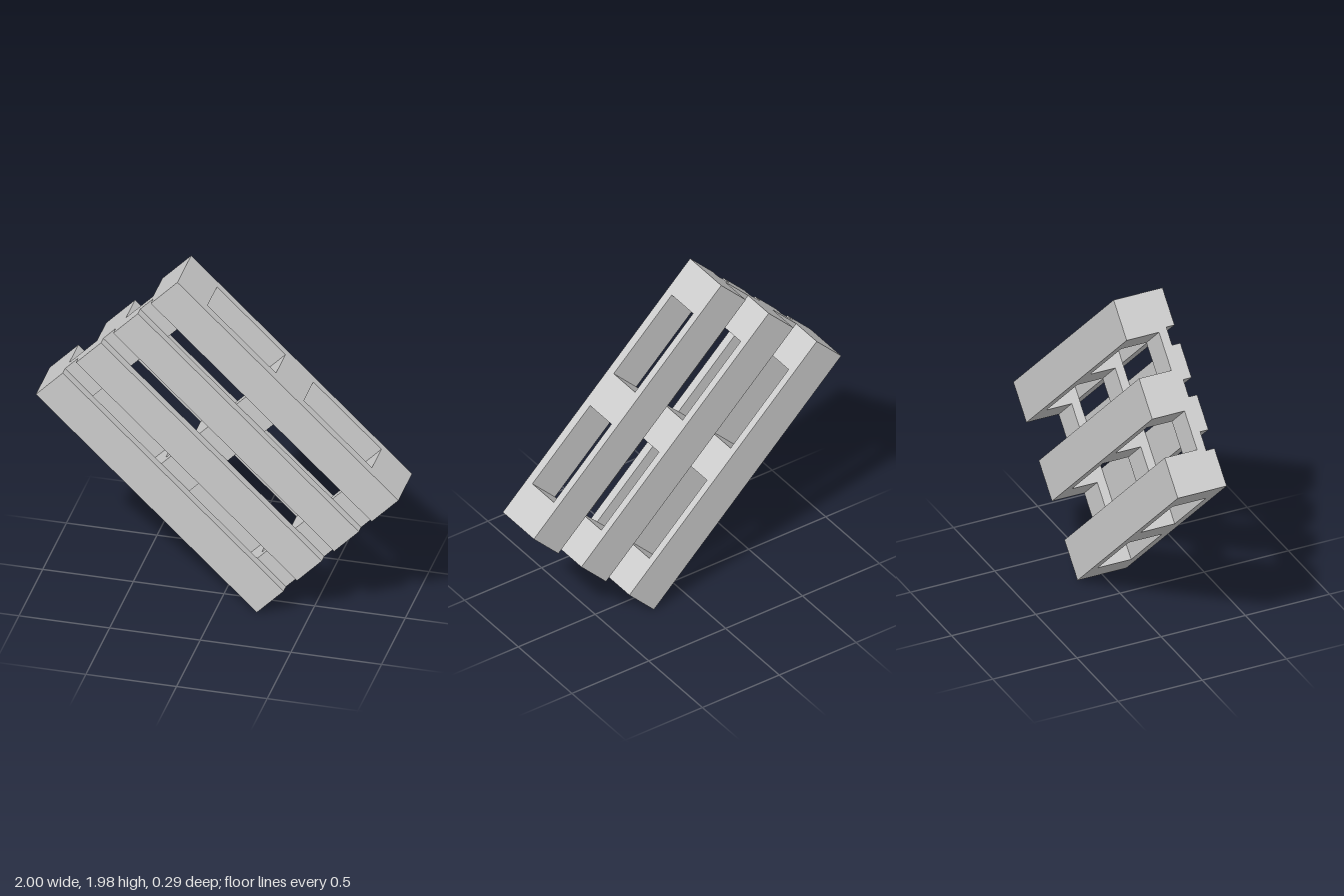
import * as THREE from 'three';

const LENGTH = 1.69, WIDTH = 1.127;
const TILT = -43.85 * Math.PI / 180;

// Layer limits in z, front (deck) to back (base)
const Z = { deck: [0.096, 0.145], cross: [0.047, 0.096], block: [-0.103, 0.047], base: [-0.145, -0.103] };

// Spans as fractions of the length (u) and width (v)
const FULL = [0, 1];
const DECK_V = [[0, 0.19], [0.284, 0.46], [0.547, 0.721], [0.812, 1]];
const BASE_V = [[0, 0.204], [0.399, 0.604], [0.796, 1]];
const CROSS_U = [[0, 0.126], [0.436, 0.562], [0.87, 1]];

export function createModel() {
  const model = new THREE.Group();
  model.name = 'pallet';
  const material = new THREE.MeshStandardMaterial({ color: 0xcccccc, flatShading: true });

  // The whole pallet stands on one corner
  const frame = new THREE.Group();
  frame.name = 'palletFrame';
  frame.rotation.z = TILT;
  frame.position.y = 0.992;
  model.add(frame);

  const plank = (name, u, v, z) => {
    const geometry = new THREE.BoxGeometry((u[1] - u[0]) * LENGTH, (v[1] - v[0]) * WIDTH, z[1] - z[0]);
    const mesh = new THREE.Mesh(geometry, material);
    mesh.name = name;
    mesh.position.set(
      ((u[0] + u[1]) / 2 - 0.5) * LENGTH,
      ((v[0] + v[1]) / 2 - 0.5) * WIDTH,
      (z[0] + z[1]) / 2
    );
    frame.add(mesh);
  };

  // Four deck boards along the length
  DECK_V.forEach((v, i) => plank(`deckBoard${i + 1}`, FULL, v, Z.deck));

  // Three cross boards under the deck, each on three blocks
  CROSS_U.forEach((u, i) => {
    plank(`crossBoard${i + 1}`, u, FULL, Z.cross);
    BASE_V.forEach((v, j) => plank(`block${i * 3 + j + 1}`, u, v, Z.block));
  });

  // Three base boards along the length
  BASE_V.forEach((v, i) => plank(`baseBoard${i + 1}`, FULL, v, Z.base));

  return model;
}
